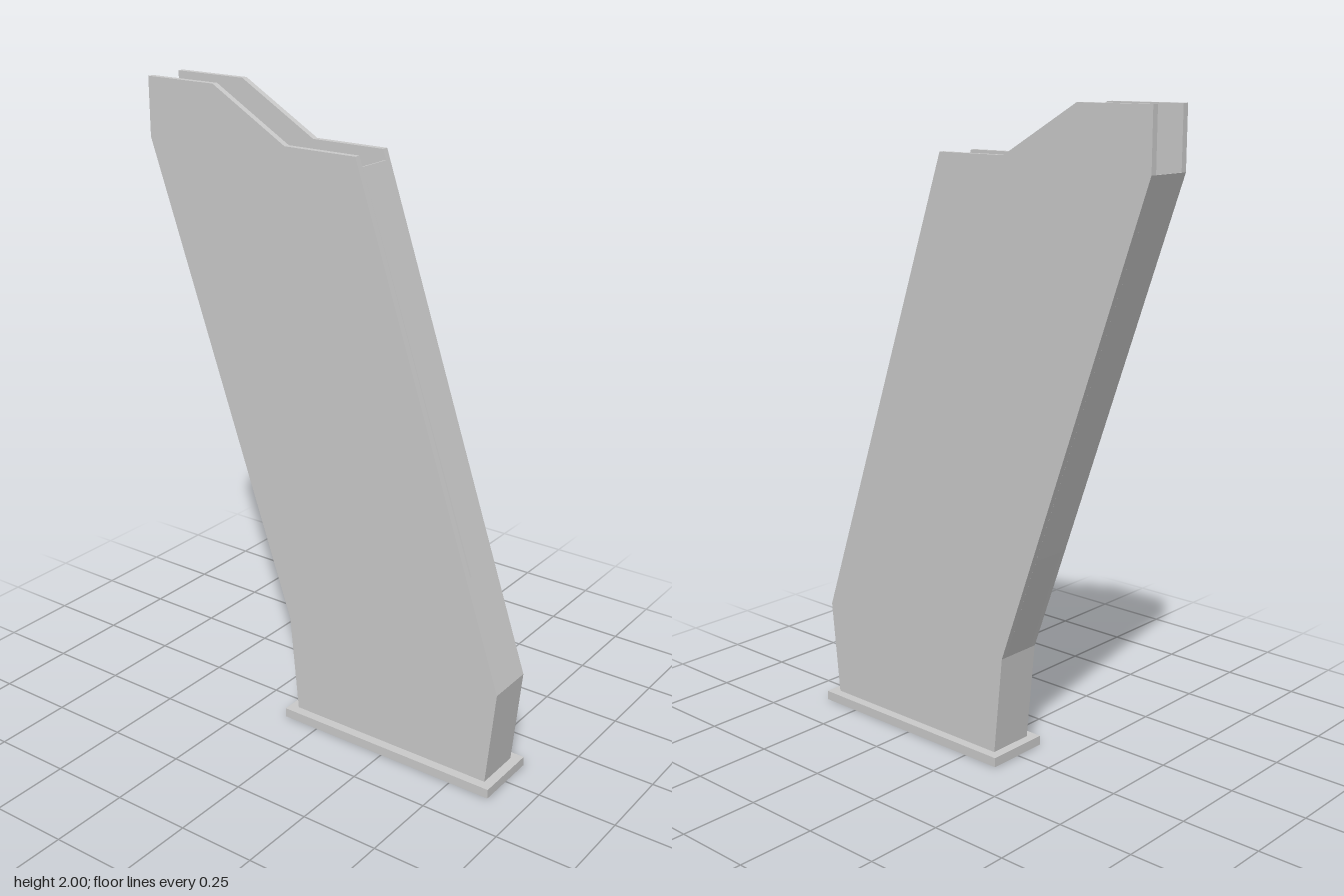
import * as THREE from 'three';

const material = new THREE.MeshStandardMaterial({ color: 0xcccccc, flatShading: true });
const HALF = 0.077;   // half width of the body
const INNER = 0.057;  // half width of the cavity

// Extrudes a side profile of [z, y] points across x, from x0 to x1
function slab(name, profile, x0, x1) {
  const shape = new THREE.Shape(profile.map(([z, y]) => new THREE.Vector2(z, y)));
  const geometry = new THREE.ExtrudeGeometry(shape, { depth: x1 - x0, bevelEnabled: false });
  geometry.rotateY(-Math.PI / 2).translate(x1, 0, 0);
  const mesh = new THREE.Mesh(geometry, material);
  mesh.name = name;
  return mesh;
}

export function createModel() {
  const group = new THREE.Group();
  group.name = 'leaningBox';

  // Flat foot plate
  const base = new THREE.Mesh(new THREE.BoxGeometry(2 * 0.107, 0.03, 0.76), material);
  base.position.set(0, 0.015, 0.255);
  base.name = 'basePlate';
  group.add(base);

  // Side walls with the raised rear lips
  const side = [
    [0.605, 0.03], [0.635, 0.337], [0.12, 1.85], [-0.125, 1.85], [-0.385, 2],
    [-0.635, 2], [-0.635, 1.82], [-0.125, 0.345], [-0.095, 0.03],
  ];
  group.add(slab('leftWall', side, INNER, HALF));
  group.add(slab('rightWall', side, -HALF, -INNER));

  // Solid lower core, its top is the cavity floor
  group.add(slab('lowerCore', [
    [0.605, 0.03], [0.635, 0.337], [0.518, 0.68], [-0.241, 0.68], [-0.125, 0.345], [-0.095, 0.03],
  ], -INNER, INNER));

  // Thin front and rear panels closing the open-topped cavity
  group.add(slab('frontPanel', [
    [0.524, 0.68], [0.131, 1.82], [0.127, 1.82], [0.518, 0.68],
  ], -INNER, INNER));
  group.add(slab('rearPanel', [
    [-0.237, 0.68], [-0.631, 1.82], [-0.635, 1.82], [-0.241, 0.68],
  ], -INNER, INNER));

  return group;
}
